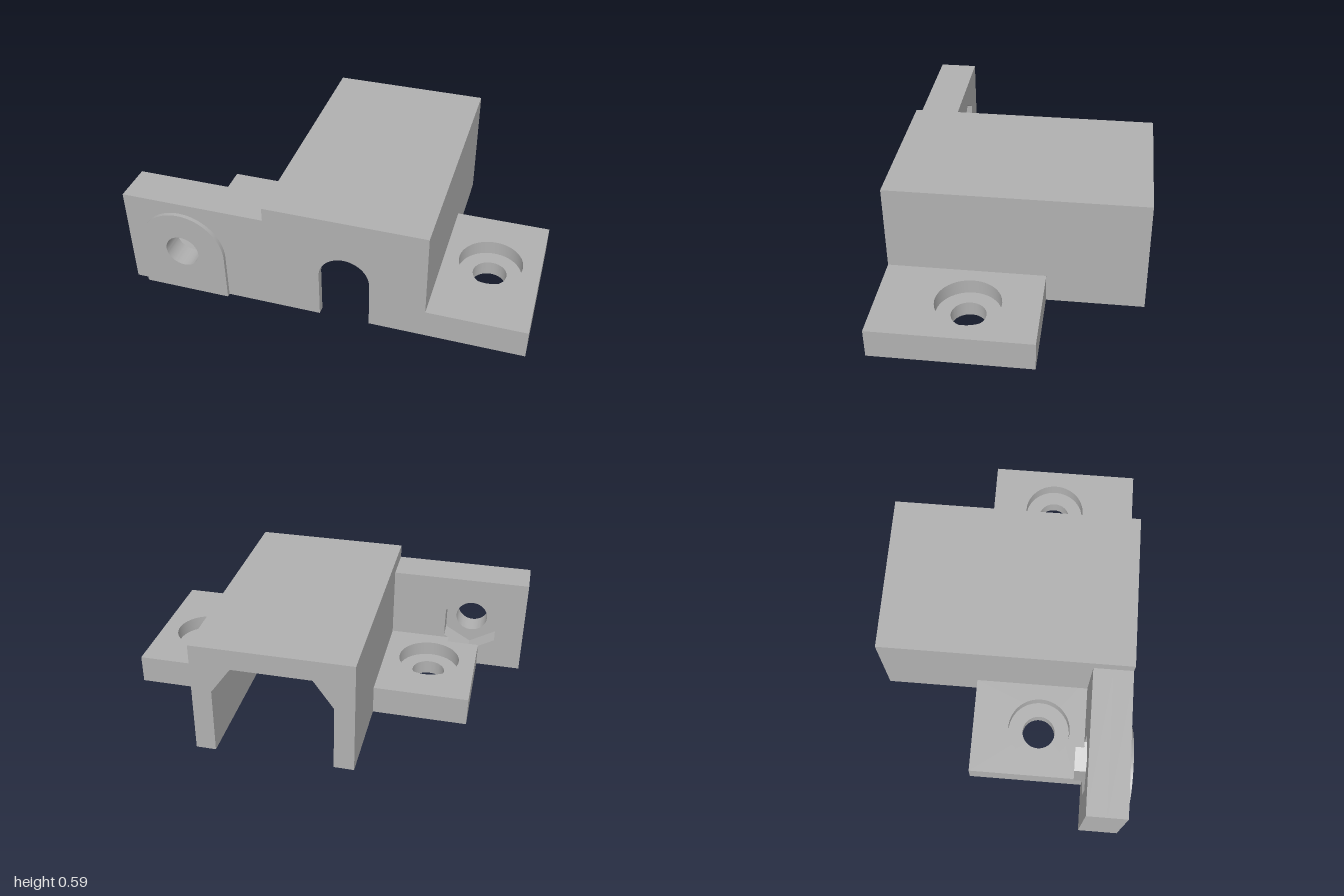
import * as THREE from 'three';
import { toCreasedNormals } from 'three/addons/utils/BufferGeometryUtils.js';

export function createModel() {
  const model = new THREE.Group();
  model.name = 'cableBracket';
  const grey = new THREE.MeshStandardMaterial({ color: 0xb0b0b0 });
  grey.name = 'grey';

  const poly = (pts) => new THREE.Shape(pts.map(([x, y]) => new THREE.Vector2(x, y)));
  const rect = (x0, x1, y0, y1) => poly([[x0, y0], [x1, y0], [x1, y1], [x0, y1]]);
  const circle = (x, y, r) => new THREE.Path().absarc(x, y, r, 0, Math.PI * 2, true);
  const withHole = (shape, hole) => { shape.holes.push(hole); return shape; };

  function add(name, geometry) {
    const mesh = new THREE.Mesh(toCreasedNormals(geometry, 0.5), grey);
    mesh.name = name;
    model.add(mesh);
  }
  const extrude = (shape, depth) =>
    new THREE.ExtrudeGeometry(shape, { depth, bevelEnabled: false, curveSegments: 32 });
  // Outline in x, y running from z0 to z1
  const alongZ = (name, shape, z0, z1) => add(name, extrude(shape, z1 - z0).translate(0, 0, z0));
  // Outline in x, -z running from y0 to y1
  const alongY = (name, shape, y0, y1) =>
    add(name, extrude(shape, y1 - y0).rotateX(-Math.PI / 2).translate(0, y0, 0));

  const L = -0.28, R = 0.515, TOP = 0.59, FRONT = 0.625, BACK = -0.645;
  const iL = -0.18, iR = 0.415, ceiling = 0.485;

  // Hood: open tunnel, with chamfered upper corners over its rear part
  const hood = (inner) => poly([[L, 0], [iL, 0], ...inner, [iR, 0], [R, 0], [R, TOP], [L, TOP]]);
  alongZ('hoodRear', hood([[iL, 0.345], [iL + 0.1, ceiling], [iR - 0.1, ceiling], [iR, 0.345]]), BACK, 0.125);
  alongZ('hoodFront', hood([[iL, ceiling], [iR, ceiling]]), 0.125, 0.585);

  // Front wall with arched cable opening
  const wall = new THREE.Shape();
  wall.moveTo(L, 0);
  wall.lineTo(-0.01, 0);
  wall.lineTo(-0.01, 0.245);
  wall.absarc(0.115, 0.245, 0.125, Math.PI, 0, true);
  wall.lineTo(0.24, 0);
  wall.lineTo(R, 0);
  wall.lineTo(R, TOP);
  wall.lineTo(L, TOP);
  alongZ('frontWall', wall, 0.585, FRONT);

  // Side plate: round bolt hole in front, hexagonal nut pocket behind
  const bx = -0.71, by = 0.245, hexR = 0.16, boltR = 0.085;
  const hex = new THREE.Path();
  hex.setFromPoints(Array.from({ length: 6 }, (_, i) => {
    const a = Math.PI / 2 - i * Math.PI / 3;
    return new THREE.Vector2(bx + hexR * Math.cos(a), by + hexR * Math.sin(a));
  }));
  alongZ('boltPlate', withHole(rect(-1, L, 0, 0.52), circle(bx, by, boltR)), 0.525, FRONT);
  alongZ('nutPocketPlate', withHole(rect(-1, L, 0, 0.52), hex), 0.425, 0.525);

  // Raised arched pad around the bolt hole
  const pad = new THREE.Shape();
  pad.moveTo(bx - 0.22, 0);
  pad.lineTo(bx + 0.22, 0);
  pad.lineTo(bx + 0.22, by);
  pad.absarc(bx, by, 0.22, 0, Math.PI, false);
  pad.closePath();
  alongZ('boltPad', withHole(pad, circle(bx, by, boltR)), FRONT, 0.645);

  // Mounting feet with counterbored screw holes
  const H = 0.15, step = 0.075, screwZ = 0.185, footBack = -0.16;
  function foot(name, x0, x1, cx, lowerFront, upperFront) {
    alongY(name + 'Base', withHole(rect(x0, x1, -lowerFront, -footBack), circle(cx, -screwZ, boltR)), 0, step);
    alongY(name + 'Top', withHole(rect(x0, x1, -upperFront, -footBack), circle(cx, -screwZ, 0.16)), step, H);
  }
  foot('leftFoot', R, 1, 0.75, FRONT, FRONT);
  foot('rightFoot', -0.765, L, -0.52, 0.425, 0.38);

  // Strip of the right foot where the nut pocket cuts a V groove
  const low = by - hexR, slope = Math.tan(Math.PI / 6);
  alongZ('nutGroove', poly([
    [-0.765, step], [L, step], [L, H], [bx + (H - low) / slope, H],
    [bx, low], [-0.765, low + 0.055 * slope],
  ]), 0.38, 0.425);

  return model;
}
